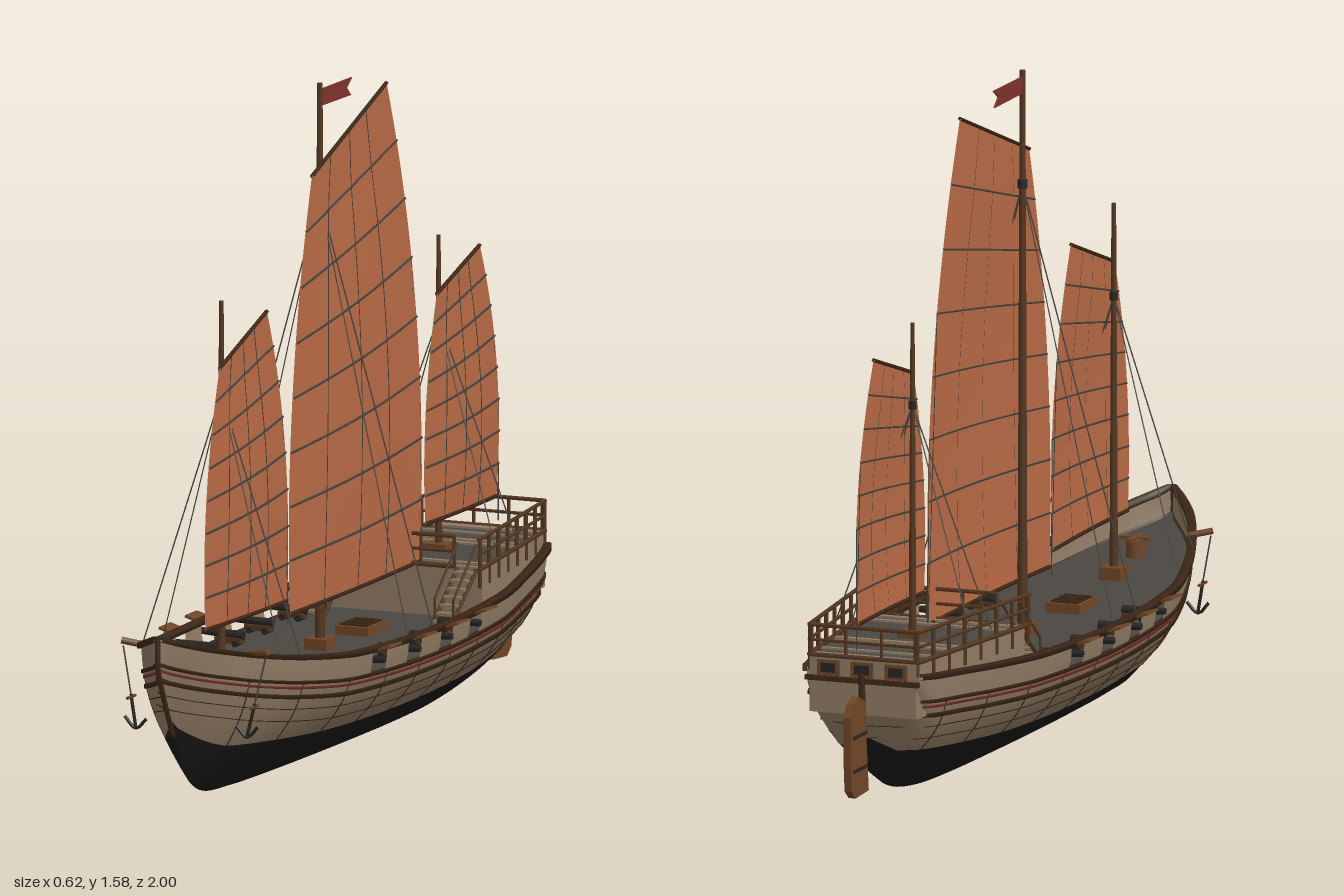
import * as THREE from 'three';

const mat = (name, color, double) => {
  const m = new THREE.MeshStandardMaterial({ color });
  m.name = name;
  if (double) m.side = THREE.DoubleSide;
  return m;
};
const M = {
  sail: mat('sailcloth', 0xb66944, true), hull: mat('hull planks', 0x8f7a63, true),
  bottom: mat('tarred bottom', 0x181818, true), deck: mat('deck', 0x4a4641, true),
  dark: mat('dark trim', 0x3d2818, true), spar: mat('spar brown', 0x53361f),
  wood: mat('brown wood', 0x6f4526), red: mat('red paint', 0x7f322b, true),
  iron: mat('iron', 0x262524), rope: mat('rope', 0x45443f),
};

// Hull stations: z, half width, sheer height, keel height, section fullness
const STATIONS = [
  [-.905, .14, .34, .25, 3.2], [-.87, .155, .337, .17, 3], [-.83, .165, .334, .09, 2.6],
  [-.75, .185, .33, .045, 2.3], [-.6, .215, .32, .018, 2.2], [-.4, .25, .312, .008, 2.2],
  [0, .27, .308, .006, 2.2], [.4, .245, .315, .01, 2.2], [.6, .2, .335, .016, 2.1],
  [.75, .15, .36, .03, 2], [.84, .112, .38, .08, 1.8], [.9, .08, .395, .17, 1.6],
  [.96, .035, .415, .28, 1.4], [.995, 0, .43, .36, 1.2],
];
const Z0 = -.905, Z1 = .995;
function station(z, c) {
  const S = STATIONS, n = S.length;
  let i = 0;
  while (i < n - 2 && z > S[i + 1][0]) i++;
  const slope = k => {
    const a = S[Math.max(0, k - 1)], b = S[Math.min(n - 1, k + 1)];
    return (b[c] - a[c]) / (b[0] - a[0]);
  };
  const h = S[i + 1][0] - S[i][0], t = (z - S[i][0]) / h, u = 1 - t;
  return S[i][c] * (1 + 2 * t) * u * u + S[i + 1][c] * t * t * (3 - 2 * t)
    + h * t * u * (u * slope(i) - t * slope(i + 1));
}
const sheer = z => station(z, 2), keel = z => station(z, 3);
const deckY = z => sheer(z) - .058;
const waterY = z => Math.max(keel(z), .118 + .045 * z * z + 2 * Math.max(0, z - .75) ** 2);
function halfWidth(z, y) {
  const u = THREE.MathUtils.clamp((y - keel(z)) / (sheer(z) - keel(z)), 0, 1);
  return Math.max(0, station(z, 1)) * (1 - (1 - u) ** station(z, 4));
}

// Surface through a grid of points
function grid(nu, nv, fn) {
  const p = [], idx = [];
  for (let i = 0; i <= nu; i++) for (let j = 0; j <= nv; j++) {
    p.push(...fn(i / nu, j / nv));
    if (i < nu && j < nv) {
      const a = i * (nv + 1) + j, b = a + nv + 1;
      idx.push(a, b, a + 1, b, b + 1, a + 1);
    }
  }
  const g = new THREE.BufferGeometry();
  g.setAttribute('position', new THREE.Float32BufferAttribute(p, 3));
  g.setIndex(idx);
  g.computeVertexNormals();
  return g;
}

export function createModel() {
  const root = new THREE.Group();
  root.name = 'junk';
  const add = (name, geo, m) => {
    const mesh = new THREE.Mesh(geo, m);
    mesh.name = name;
    root.add(mesh);
    return mesh;
  };
  const box = (name, m, w, h, d, x, y, z) => {
    const b = add(name, new THREE.BoxGeometry(w, h, d), m);
    b.position.set(x, y, z);
    return b;
  };
  const bar = (name, m, a, b, r, r2 = r, sides = 6) => {
    const A = new THREE.Vector3(...a), B = new THREE.Vector3(...b), d = B.clone().sub(A);
    const c = add(name, new THREE.CylinderGeometry(r2, r, d.length(), sides), m);
    c.position.copy(A).add(B).multiplyScalar(.5);
    c.quaternion.setFromUnitVectors(new THREE.Vector3(0, 1, 0), d.normalize());
  };
  const tube = (name, m, pts, r, seg = 40, sides = 4) => add(name, new THREE.TubeGeometry(
    new THREE.CatmullRomCurve3(pts.map(q => new THREE.Vector3(...q))), seg, r, sides), m);
  // Flat outline given as [z, y], centred on x = 0
  const plate = (name, m, pts, thick) => {
    const s = new THREE.Shape(pts.map(([z, y]) => new THREE.Vector2(-z, y)));
    const g = new THREE.ExtrudeGeometry(s, { depth: thick, bevelEnabled: false });
    add(name, g.rotateY(Math.PI / 2).translate(-thick / 2, 0, 0), m);
  };
  // Rectangular strake following the hull side
  const strake = (name, m, s, drop, w, h) => add(name, grid(60, 4, (u, v) => {
    const z = Z0 + (Z1 - Z0) * u, y = sheer(z) - drop, k = Math.round(v * 4) % 4;
    const x = halfWidth(z, y) + (k === 0 || k === 3 ? w : -w);
    return [s * Math.max(0, x), y + (k < 2 ? h : -h), z];
  }), m);

  // Hull
  const zAt = u => Z0 + (Z1 - Z0) * u;
  add('hullBottom', grid(64, 16, (u, v) => {
    const z = zAt(u), t = v * 2 - 1, y = keel(z) + (waterY(z) - keel(z)) * Math.abs(t);
    return [Math.sign(t) * halfWidth(z, y), y, z];
  }), M.bottom);
  add('deck', grid(50, 2, (u, v) => {
    const z = zAt(u), y = deckY(z);
    return [(1 - 2 * v) * halfWidth(z, y), y, z];
  }), M.deck);
  const ports = [-.225, -.05, .125, .3], pw = .034;
  const edges = [Z0, ...ports.flatMap(z => [z - pw, z + pw]), Z1];
  for (const s of [-1, 1]) {
    add('hullSide', grid(64, 8, (u, v) => {
      const z = zAt(u), y = waterY(z) + (deckY(z) - waterY(z)) * v;
      return [s * halfWidth(z, y), y, z];
    }), M.hull);
    for (let i = 0; i < edges.length; i += 2) add('bulwark', grid(i % 8 ? 3 : 24, 2, (u, v) => {
      const z = edges[i] + (edges[i + 1] - edges[i]) * u, y = deckY(z) + .058 * v;
      return [s * halfWidth(z, y), y, z];
    }), M.hull);
    strake('capRail', M.dark, s, 0, .011, .006);
    strake('upperWale', M.dark, s, .06, .006, .004);
    strake('redStripe', M.red, s, .073, .004, .003);
    strake('lowerWale', M.dark, s, .095, .006, .005);
    for (const d of [.125, .155]) strake('plankSeam', M.dark, s, d, .002, .001);
    for (let k = 0; k < 10; k++) {
      const z = -.8 + k * .175;
      const pts = [0, .33, .66, 1].map(t => {
        const y = waterY(z) + (sheer(z) - .06 - waterY(z)) * t;
        return [s * halfWidth(z, y), y, z];
      });
      tube('frameSeam', M.dark, pts, .002, 8);
    }
  }
  const stem = [.91, .93, .96, .995].map(z => [0, keel(z), z]);
  tube('stemPost', M.dark, [...stem, [0, .435, .997]], .007, 24, 6);

  // Transom and its windows
  const tr = new THREE.Shape();
  for (let i = -12; i <= 12; i++) {
    const y = .25 + .09 * Math.abs(i) / 12, x = Math.sign(i) * halfWidth(Z0, y);
    i === -12 ? tr.moveTo(x, y) : tr.lineTo(x, y);
  }
  add('transom', new THREE.ShapeGeometry(tr).translate(0, 0, Z0), M.hull);
  box('transomBeam', M.dark, .285, .012, .014, 0, .322, Z0 - .003);
  for (const x of [-.085, 0, .085]) {
    box('sternWindowFrame', M.wood, .055, .036, .006, x, .348, -.909);
    box('sternWindow', M.iron, .036, .022, .006, x, .348, -.911);
  }

  // Quarterdeck
  const qTop = .37, qx = z => .2 + (z + .4) * .13;
  const qs = new THREE.Shape([[-.2, .4], [.2, .4], [qx(Z0), -Z0], [-qx(Z0), -Z0]].map(p => new THREE.Vector2(...p)));
  add('quarterdeck', new THREE.ExtrudeGeometry(qs, { depth: qTop - .24, bevelEnabled: false })
    .rotateX(-Math.PI / 2).translate(0, .24, 0), [M.deck, M.hull]);
  for (const [z, d] of [[-.413, .016], [-.46, .014], [-.685, .015], [-.723, .015], [-.81, .012], [-.88, .03]])
    box('paleBoard', M.hull, 2 * qx(z) - .01, .006, d, 0, qTop + .002, z);
  for (const [y, r] of [[.374, .006], [.41, .004], [.445, .005]]) {
    for (const s of [-1, 1]) bar('sideRail', M.spar, [s * .203, y, -.375], [s * .137, y, -.9], r);
    bar('sternRail', M.spar, [-.137, y, -.9], [.137, y, -.9], r);
    bar('frontRail', M.spar, [-.13, y, -.4], [.13, y, -.4], r);
  }
  for (const s of [-1, 1]) {
    for (let k = 0; k < 8; k++) {
      const z = -.385 - k * .0735;
      bar('railPost', M.spar, [s * qx(z), .33, z], [s * qx(z), .447, z], .005);
    }
    for (const x of [.045, .13]) {
      bar('railPost', M.spar, [s * x, .37, -.4], [s * x, .447, -.4], .004);
      bar('railPost', M.spar, [s * x, .37, -.9], [s * x, .447, -.9], .004);
    }
    // Stairs up from the main deck
    for (let k = 0; k < 7; k++)
      box('stairStep', M.hull, .045, .006, .016, s * .162, .268 + k * .016, -.262 - k * .02);
    for (const x of [.138, .186]) {
      bar('stairStringer', M.spar, [s * x, .255, -.25], [s * x, .37, -.4], .005);
      bar('stairRail', M.spar, [s * x, .32, -.27], [s * x, .43, -.4], .003);
      bar('stairPost', M.spar, [s * x, .26, -.27], [s * x, .32, -.27], .003);
    }
  }

  // Guns and port lids
  for (const z of ports) for (const s of [-1, 1]) {
    const x = halfWidth(z, sheer(z)), y = deckY(z);
    bar('gunBarrel', M.iron, [s * (x - .095), y + .026, z], [s * (x + .012), y + .03, z], .011, .008, 10);
    box('gunCarriage', M.spar, .065, .013, .03, s * (x - .06), y + .014, z);
    for (const dx of [.04, .08]) bar('gunWheels', M.iron, [s * (x - dx), y + .008, z - .019], [s * (x - dx), y + .008, z + .019], .008, .008, 8);
    const lid = box('portLid', M.wood, .042, .006, .066, s * (x + .02), sheer(z) + .003, z);
    lid.rotation.z = s * .3;
  }

  // Hatches, capstan and mast steps
  for (const z of [-.16, .375]) {
    box('hatchCoaming', M.wood, .085, .026, .11, 0, deckY(z) + .008, z);
    for (let k = -2; k <= 2; k++) box('hatchBar', M.dark, .07, .004, .008, 0, deckY(z) + .023, z + k * .02);
  }
  const cy = deckY(.77);
  bar('capstan', M.wood, [0, cy, .77], [0, cy + .045, .77], .024, .022, 12);
  for (const [dx, dz] of [[.034, 0], [0, .034]])
    box('capstanBar', M.wood, .012 + 2 * dx, .008, .012 + 2 * dz, 0, cy + .044, .77);

  // Anchors on short beams at the bow
  for (const s of [-1, 1]) {
    const y = sheer(.78);
    bar('anchorBeam', M.wood, [s * .13, y, .765], [s * .187, y + .012, .787], .008);
    bar('anchorCable', M.rope, [s * .182, y, .787], [s * .158, .255, .797], .002);
    bar('anchorShank', M.iron, [s * .158, .255, .797], [s * .142, .178, .805], .004);
    bar('anchorStock', M.wood, [s * .157, .248, .775], [s * .157, .248, .82], .004);
    tube('anchorFlukes', M.iron, [[s * .17, .203, .805], [s * .142, .176, .805], [s * .114, .201, .805]], .004, 10, 6);
  }

  // Rudder
  plate('rudder', M.wood, [[-.89, .06], [-.97, .055], [-.995, .075], [-1, .13], [-1, .25], [-.985, .28], [-.95, .293], [-.915, .275]], .018);
  bar('rudderStock', M.dark, [0, .07, -.894], [0, .34, -.914], .008);
  for (const y of [.12, .2]) box('rudderStrap', M.iron, .021, .008, .085, 0, y, -.945);

  // Sails: luff and leech corners as [z, y] bottom then top, with edge bulges
  const N = 8;
  function sail(luff, leech, bulge, camber) {
    const lerp = THREE.MathUtils.lerp;
    const at = (u, v, off = 0) => {
      const k = 4 * v * (1 - v);
      const zl = lerp(luff[0], luff[2], v) + bulge[0] * k, zr = lerp(leech[0], leech[2], v) - bulge[1] * k;
      return [.02 + off + camber * Math.sin(Math.PI * u) * Math.sin(Math.PI * Math.min(1, v + .12)),
        lerp(lerp(luff[1], luff[3], v), lerp(leech[1], leech[3], v), u), lerp(zl, zr, u)];
    };
    add('sail', grid(16, 24, at), M.sail);
    const line = Array.from({ length: 9 }, (_, i) => i / 8);
    for (let i = 0; i <= N; i++) {
      const end = i === 0 || i === N;
      tube(end ? 'sailSpar' : 'batten', end ? M.dark : M.rope, line.map(u => at(u, i / N, end ? 0 : .001)), end ? .005 : .003, 16, 5);
    }
    for (const u of [.25, .5, .72]) tube('sailLine', M.rope, line.map(v => at(u, v, .0005)), .0012, 24, 3);
    for (const v of [.125, .375, .625]) bar('sheetRope', M.rope, at(1, v), [.02, Math.max(.3, leech[1] - .06), leech[0] - .01], .0012, .0012, 3);
  }
  sail([.29, .37, .165, 1.385], [-.45, .37, -.26, 1.535], [.048, .075], .018);
  sail([.77, .415, .69, 1.02], [.31, .405, .42, 1.11], [.035, .05], .012);
  sail([-.48, .452, -.545, .985], [-.885, .45, -.79, 1.06], [.03, .05], .012);

  // Masts with steps and shrouds: z, base, top, radius, shroud height, shroud spread
  for (const [z, base, top, r, sh, spread] of [
    [.075, .24, 1.59, .012, 1.32, .07], [.635, .27, 1.17, .01, .95, .055], [-.6, .36, 1.115, .009, .92, .06]]) {
    bar('mast', M.spar, [0, base, z], [0, top, z], r, r * .55, 10);
    box('mastStep', M.wood, .055, .03, .055, 0, Math.max(base, deckY(z)) + .012, z);
    bar('mastBand', M.iron, [0, sh - .01, z], [0, sh + .01, z], r, r, 10);
    for (const s of [-1, 1]) for (const d of [-spread, spread])
      bar('shroud', M.rope, [0, sh, z], [s * (z < -.4 ? qx(z) : halfWidth(z, sheer(z)) - .012), z < -.4 ? .39 : sheer(z + d), z + d], .0016, .0016, 4);
  }
  plate('flag', M.red, [[.07, 1.575], [-.105, 1.573], [-.075, 1.553], [-.1, 1.532], [.07, 1.535]], .004);
  return root;
}
